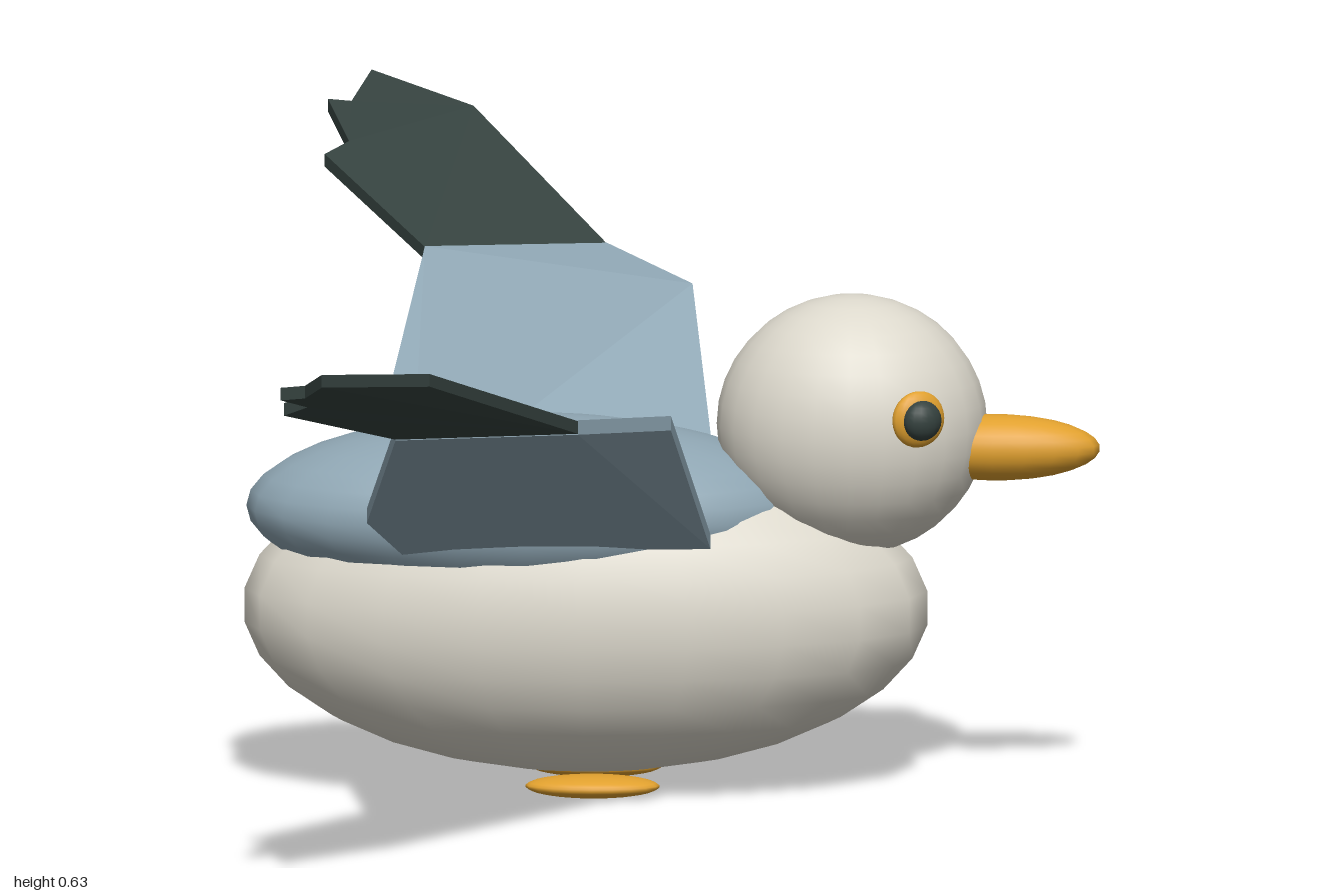
import * as THREE from 'three';

const mat = (name, color) => {
  const m = new THREE.MeshStandardMaterial({ color });
  m.name = name;
  return m;
};

// Smooth ellipsoid: centre and radii
function ellipsoid(name, material, centre, radii, seg = 20, yaw = 0) {
  const mesh = new THREE.Mesh(new THREE.SphereGeometry(1, seg, Math.round(seg * 0.75)), material);
  mesh.name = name;
  mesh.position.set(...centre);
  mesh.scale.set(...radii);
  mesh.rotation.y = yaw;
  return mesh;
}

// Flat-faced slab from an outline of [x, y, z] points, with vertical thickness
function slab(name, material, outline, thickness) {
  const signed = (a, b, c) => (b[0] - a[0]) * (c[2] - a[2]) - (b[2] - a[2]) * (c[0] - a[0]);
  const flat = outline.map(p => new THREE.Vector2(p[0], p[2]));
  let pts = outline;
  if (THREE.ShapeUtils.area(flat) < 0) {
    pts = [...outline].reverse();
    flat.reverse();
  }
  const top = pts.map(p => [p[0], p[1] + thickness / 2, p[2]]);
  const low = pts.map(p => [p[0], p[1] - thickness / 2, p[2]]);
  const out = [];
  for (const tri of THREE.ShapeUtils.triangulateShape(flat, [])) {
    let [i, j, k] = tri;
    if (signed(pts[i], pts[j], pts[k]) > 0) [j, k] = [k, j];
    out.push(...top[i], ...top[j], ...top[k], ...low[i], ...low[k], ...low[j]);
  }
  pts.forEach((_, i) => {
    const j = (i + 1) % pts.length;
    out.push(...low[i], ...top[i], ...top[j], ...low[i], ...top[j], ...low[j]);
  });
  const geo = new THREE.BufferGeometry();
  geo.setAttribute('position', new THREE.Float32BufferAttribute(out, 3));
  geo.computeVertexNormals();
  const mesh = new THREE.Mesh(geo, material);
  mesh.name = name;
  return mesh;
}

export function createModel() {
  const white = mat('offWhite', 0xdcd8cc);
  const blue = mat('greyBlue', 0x8fa6b3);
  const dark = mat('darkSlate', 0x35423f);
  const orange = mat('orange', 0xe0a02e);

  const bird = new THREE.Group();
  bird.name = 'bird';

  // Body, back, head and beak (the bird faces +x)
  bird.add(
    ellipsoid('body', white, [-0.094, 0.2, 0], [0.373, 0.18, 0.168]),
    ellipsoid('back', blue, [-0.155, 0.31, 0], [0.308, 0.1, 0.163], 24),
    ellipsoid('head', white, [0.195, 0.403, 0], [0.147, 0.142, 0.124], 24),
    ellipsoid('beak', orange, [0.35, 0.38, 0.013], [0.115, 0.036, 0.04], 20, -0.02)
  );

  // Wing outlines on the +z side, leading edge first
  const wrist = [[-0.087, 0.5, 0.577], [-0.285, 0.494, 0.585]];
  const innerWing = [
    [0.045, 0.297, 0.14], [0.01, 0.479, 0.43], ...wrist,
    [-0.325, 0.345, 0.26], [-0.288, 0.285, 0.13]
  ];
  const wingTip = [
    wrist[0], [-0.24, 0.604, 0.873], [-0.354, 0.624, 0.994], [-0.374, 0.6, 0.927],
    [-0.4, 0.6, 0.94], [-0.374, 0.572, 0.825], [-0.4, 0.56, 0.81], wrist[1]
  ];

  for (const s of [1, -1]) {
    const side = s > 0 ? 'Right' : 'Left';

    // The far wing sits slightly lower
    const place = pts => pts.map(([x, y, z]) =>
      s > 0 ? [x, y, z] : [x, y - 0.018 * z, -z - 0.004]);
    const wing = new THREE.Group();
    wing.name = 'wing' + side;
    wing.add(
      slab('innerWing', blue, place(innerWing), 0.016),
      slab('wingTip', dark, place(wingTip), 0.014)
    );

    // Eye with orange rim, turned along the cheek
    const eye = new THREE.Group();
    eye.name = 'eye' + side;
    eye.position.set(0.27, 0.427, s * 0.104 + 0.003);
    eye.rotation.y = s * 0.47;
    eye.add(
      ellipsoid('eyeRim', orange, [0, 0, 0], [0.031, 0.031, 0.013], 18),
      ellipsoid('pupil', dark, [0, 0, s * 0.01], [0.022, 0.022, 0.016], 16)
    );

    bird.add(wing, eye,
      ellipsoid('foot' + side, orange, [-0.085, 0.014, s * 0.067 + 0.002], [0.073, 0.0125, 0.033], 20));
  }
  return bird;
}
